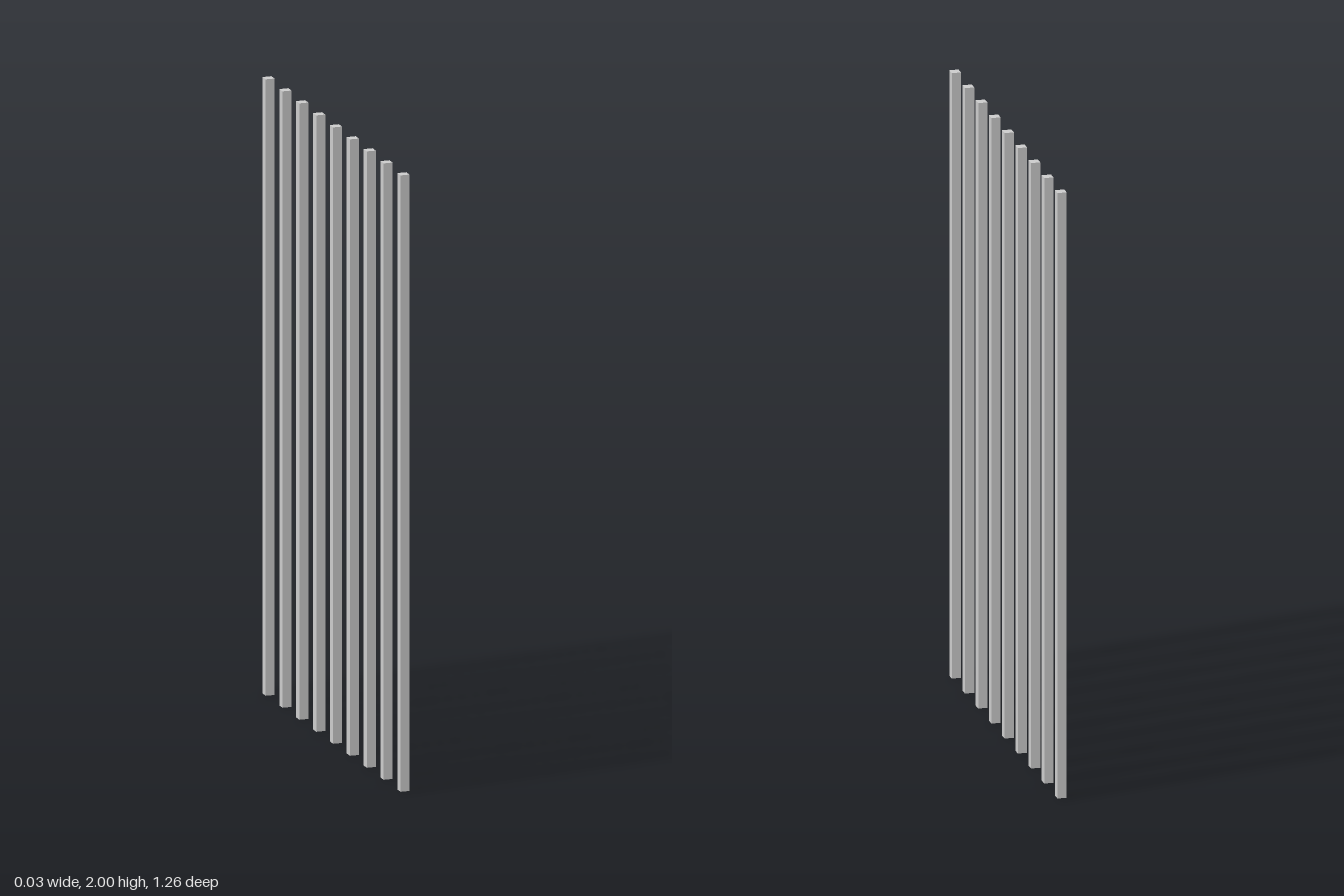
import * as THREE from 'three';

const COUNT = 9;
const SPACING = 0.1535;
const WIDTH = 0.03;
const HEIGHT = 2;

export function createModel() {
  const group = new THREE.Group();
  group.name = 'slatScreen';
  const material = new THREE.MeshStandardMaterial({ color: 0xcccccc });
  const geometry = new THREE.BoxGeometry(WIDTH, HEIGHT, WIDTH);

  // Row of evenly spaced square posts running front to back
  for (let i = 0; i < COUNT; i++) {
    const post = new THREE.Mesh(geometry, material);
    post.name = `post${i + 1}`;
    post.position.set(0, HEIGHT / 2, (i - (COUNT - 1) / 2) * SPACING);
    group.add(post);
  }
  return group;
}
